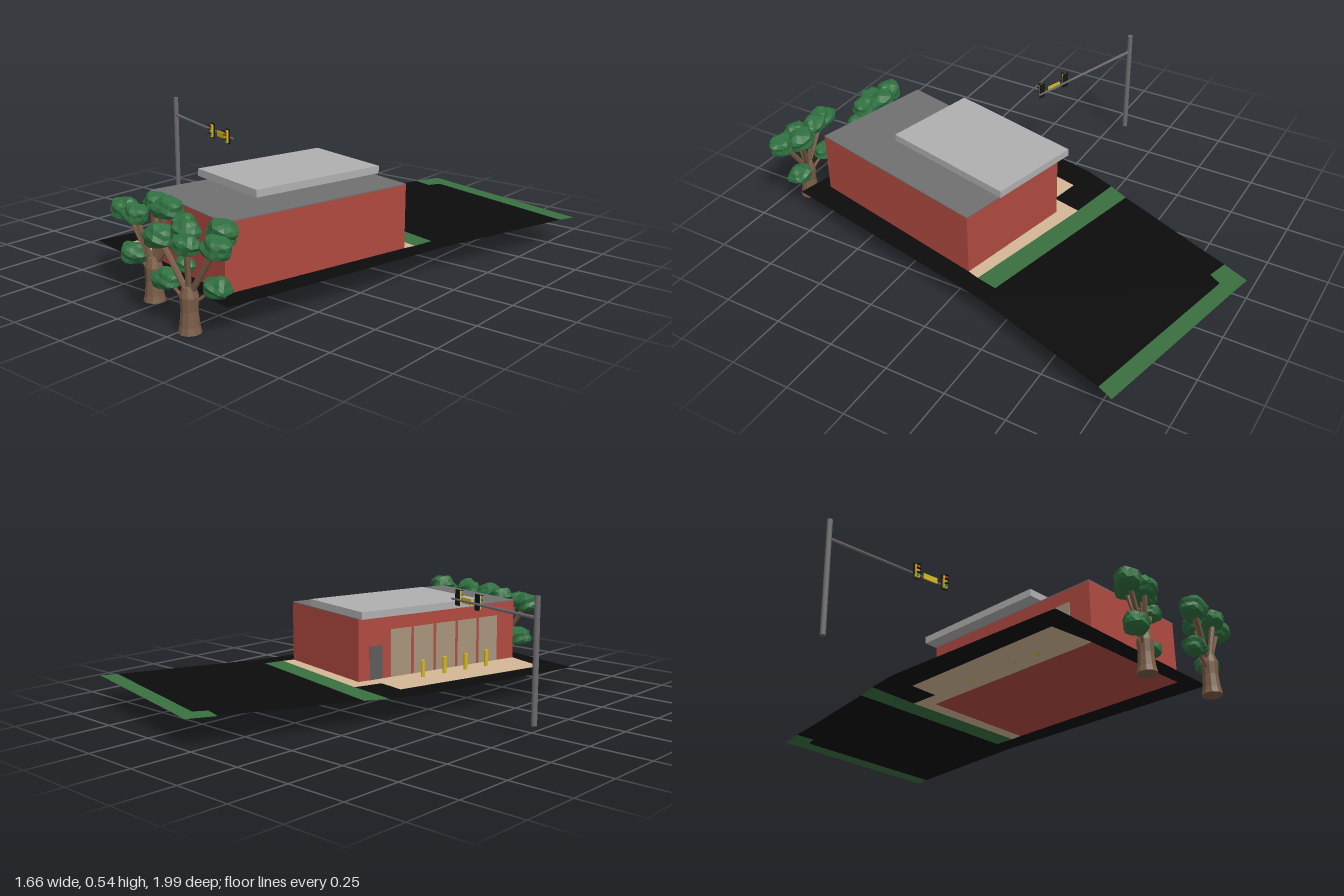
import * as THREE from 'three';

const mat = (color, extra = {}) => new THREE.MeshStandardMaterial({ color, ...extra });
const mats = {
  asphalt: mat(0x0c0c0c, { side: THREE.DoubleSide }),
  grass: mat(0x3a7040, { side: THREE.DoubleSide }),
  paving: mat(0xd4b896, { side: THREE.DoubleSide }),
  brick: mat(0xb04a40), roof: mat(0x707070), canopy: mat(0xb0b0b0),
  window: mat(0xa8957c), door: mat(0x5c5c5c), yellow: mat(0xd8b820),
  steel: mat(0x6c6a6c), dark: mat(0x151515), red: mat(0xc02818), amber: mat(0xe09a20), green: mat(0x209040),
  leaf: mat(0x2f7040, { flatShading: true }), bark: mat(0x7a5c46, { flatShading: true }),
};

function add(parent, name, geometry, material, x = 0, y = 0, z = 0) {
  const mesh = new THREE.Mesh(geometry, material);
  mesh.name = name;
  mesh.position.set(x, y, z);
  parent.add(mesh);
  return mesh;
}

// Plan outlines are [x, z] pairs
const toPoints = (plan) => plan.map(([x, z]) => new THREE.Vector2(x, -z));

function groundPatch(plan, holes = []) {
  const shape = new THREE.Shape(toPoints(plan));
  holes.forEach((h) => shape.holes.push(new THREE.Path(toPoints(h))));
  const geo = new THREE.ShapeGeometry(shape).rotateX(-Math.PI / 2);
  const p = geo.attributes.position;
  // the ground rises gently towards the back
  for (let i = 0; i < p.count; i++) p.setY(i, 0.1 + 0.015 * Math.max(0, -0.1 - p.getZ(i)));
  geo.computeVertexNormals();
  return geo;
}

function prism(plan, y0, y1) {
  const geo = new THREE.ExtrudeGeometry(new THREE.Shape(toPoints(plan)), { depth: y1 - y0, bevelEnabled: false });
  return geo.rotateX(-Math.PI / 2).translate(0, y0, 0);
}

// Tapered rod between two points
function rod(parent, name, a, b, ra, rb, material, sides = 8) {
  const from = new THREE.Vector3(...a), to = new THREE.Vector3(...b);
  const dir = to.clone().sub(from);
  const mesh = add(parent, name, new THREE.CylinderGeometry(rb, ra, dir.length(), sides), material);
  mesh.position.copy(from).addScaledVector(dir, 0.5);
  mesh.quaternion.setFromUnitVectors(new THREE.Vector3(0, 1, 0), dir.normalize());
  return mesh;
}

// Faceted leaf clump, bumpy by a repeatable rule
function clump(seed, rx, ry, rz) {
  const geo = new THREE.IcosahedronGeometry(1, 2);
  const p = geo.attributes.position;
  const v = new THREE.Vector3();
  for (let i = 0; i < p.count; i++) {
    v.fromBufferAttribute(p, i);
    const bump = 0.93 + 0.1 * Math.sin(5 * v.x + seed) * Math.cos(4 * v.z + 2 * seed) + 0.08 * Math.sin(7 * v.y + 3 * v.x + seed * 3);
    v.multiplyScalar(bump);
    p.setXYZ(i, v.x * rx, Math.max(v.y, -0.7) * ry, v.z * rz);
  }
  geo.computeVertexNormals();
  return geo;
}

function makeTree(name, x, z, clumps) {
  const tree = new THREE.Group();
  tree.name = name;
  // flared trunk
  const profile = [[0, 0], [0.042, 0], [0.036, 0.025], [0.031, 0.08], [0.034, 0.13], [0.024, 0.165], [0, 0.175]];
  add(tree, 'trunk', new THREE.LatheGeometry(profile.map(([r, y]) => new THREE.Vector2(r, y)), 10), mats.bark, x, 0, z);
  clumps.forEach(([cx, cy, cz, r], i) => {
    const low = cy < 0.25;
    const bend = new THREE.Vector3(x + (cx - x) * 0.4, low ? 0.13 : 0.21, z + (cz - z) * 0.4);
    const path = new THREE.QuadraticBezierCurve3(
      new THREE.Vector3(x, low ? 0.09 : 0.13, z), bend, new THREE.Vector3(cx, cy, cz));
    add(tree, 'branch', new THREE.TubeGeometry(path, 6, low ? 0.006 : 0.011, 6), mats.bark);
    add(tree, 'foliage', clump(i * 1.7 + x * 9, r, r * 0.72, r * 0.8), mats.leaf, cx, cy, cz);
  });
  return tree;
}

export function createModel() {
  const model = new THREE.Group();
  model.name = 'cornerShop';

  // Ground
  const footprint = [[-0.195, 0.65], [0.31, 0.775], [0.495, -0.04], [-0.01, -0.155]];
  const verge = [[-0.24, -0.365], [0.53, -0.18], [0.51, -0.09], [-0.06, -0.23], [-0.285, -0.275]];
  const paving = [[-0.06, -0.23], [0.51, -0.09], [0.495, -0.04], [-0.01, -0.155], [-0.195, 0.65], [-0.385, 0.585], [-0.215, -0.13], [-0.09, -0.105]];
  const backVerge = [[0.03, -1], [0.11, -0.98], [0.83, -0.815], [0.8, -0.75], [0.095, -0.915], [0.065, -0.865], [-0.02, -0.89]];
  const road = [[-0.5, 0.66], [0.4, 0.86], [0.61, -0.16], [0.8, -0.75], [0.095, -0.915], [0.065, -0.865], [-0.02, -0.89],
    [-0.085, -0.73], [-0.24, -0.365], [0.53, -0.18], [0.51, -0.09], [0.495, -0.04],
    [0.31, 0.775], [-0.195, 0.65], [-0.385, 0.585], [-0.215, -0.13], [-0.09, -0.105], [-0.06, -0.23],
    [-0.285, -0.275], [-0.34, -0.14]];
  add(model, 'asphalt', groundPatch(road), mats.asphalt);
  add(model, 'grassVerge', groundPatch(verge), mats.grass);
  add(model, 'backVerge', groundPatch(backVerge), mats.grass);
  add(model, 'pavement', groundPatch(paving), mats.paving);

  // Building
  add(model, 'walls', prism(footprint, 0.1, 0.357), mats.brick);
  add(model, 'flatRoof', prism(footprint, 0.357, 0.361), mats.roof);
  add(model, 'upperRoof', prism([[-0.055, -0.18], [0.33, -0.09], [0.2, 0.49], [-0.19, 0.4]], 0.366, 0.396), mats.canopy);

  // Shop front: local x runs along the wall from the back corner
  const shopFront = new THREE.Group();
  shopFront.name = 'shopFront';
  shopFront.position.set(-0.01, 0.1, -0.155);
  shopFront.rotation.y = -Math.atan2(0.805, -0.185);
  model.add(shopFront);
  add(shopFront, 'door', new THREE.BoxGeometry(0.06, 0.14, 0.006), mats.door, 0.085, 0.071, 0);
  for (let i = 0; i < 5; i++) {
    add(shopFront, 'window', new THREE.BoxGeometry(0.103, 0.2, 0.006), mats.window, 0.21 + i * 0.117, 0.101, 0);
  }

  // Bollards
  for (let i = 0; i < 4; i++) {
    add(model, 'bollard', new THREE.CylinderGeometry(0.009, 0.009, 0.07, 12), mats.yellow, -0.14 - i * 0.0235, 0.135, 0.095 + i * 0.113);
  }

  // Signal mast
  const mast = new THREE.Group();
  mast.name = 'signalMast';
  model.add(mast);
  rod(mast, 'pole', [-0.82, 0.06, -0.09], [-0.82, 0.535, -0.09], 0.011, 0.011, mats.steel, 12);
  rod(mast, 'arm', [-0.82, 0.455, -0.09], [-0.295, 0.446, 0.086], 0.007, 0.004, mats.steel);
  const angle = -Math.atan2(0.176, 0.525);
  for (const [x, z] of [[-0.45, 0.037], [-0.32, 0.08]]) {
    const signal = new THREE.Group();
    signal.name = 'trafficLight';
    signal.position.set(x, 0.453, z);
    signal.rotation.y = angle;
    mast.add(signal);
    add(signal, 'backPlate', new THREE.BoxGeometry(0.028, 0.064, 0.005), mats.dark, 0, 0, 0.008);
    add(signal, 'housing', new THREE.BoxGeometry(0.018, 0.054, 0.012), mats.yellow, 0, 0, 0.013);
    ['red', 'amber', 'green'].forEach((c, i) => {
      const y = 0.018 - i * 0.018;
      add(signal, 'lens', new THREE.CylinderGeometry(0.006, 0.006, 0.003, 12).rotateX(Math.PI / 2), mats[c], 0, y, 0.02);
      add(signal, 'hood', new THREE.BoxGeometry(0.016, 0.002, 0.012), mats.dark, 0, y + 0.008, 0.024);
    });
  }
  const sign = add(mast, 'signPlate', new THREE.BoxGeometry(0.066, 0.024, 0.005), mats.yellow, -0.385, 0.448, 0.065);
  sign.rotation.y = angle;

  // Trees: clumps are [x, y, z, radius]
  model.add(makeTree('leftTree', -0.035, 0.79, [
    [-0.165, 0.325, 0.795, 0.068], [-0.06, 0.355, 0.74, 0.06], [-0.085, 0.325, 0.825, 0.06],
    [0.025, 0.355, 0.77, 0.066], [0.105, 0.315, 0.765, 0.055], [-0.125, 0.165, 0.8, 0.065], [0.1, 0.16, 0.765, 0.045]]));
  model.add(makeTree('rightTree', 0.28, 0.92, [
    [0.145, 0.315, 0.925, 0.068], [0.24, 0.345, 0.89, 0.06], [0.3, 0.32, 0.945, 0.058],
    [0.37, 0.355, 0.845, 0.066], [0.41, 0.325, 0.92, 0.065], [0.16, 0.16, 0.91, 0.06], [0.375, 0.17, 0.88, 0.06]]));

  return model;
}
